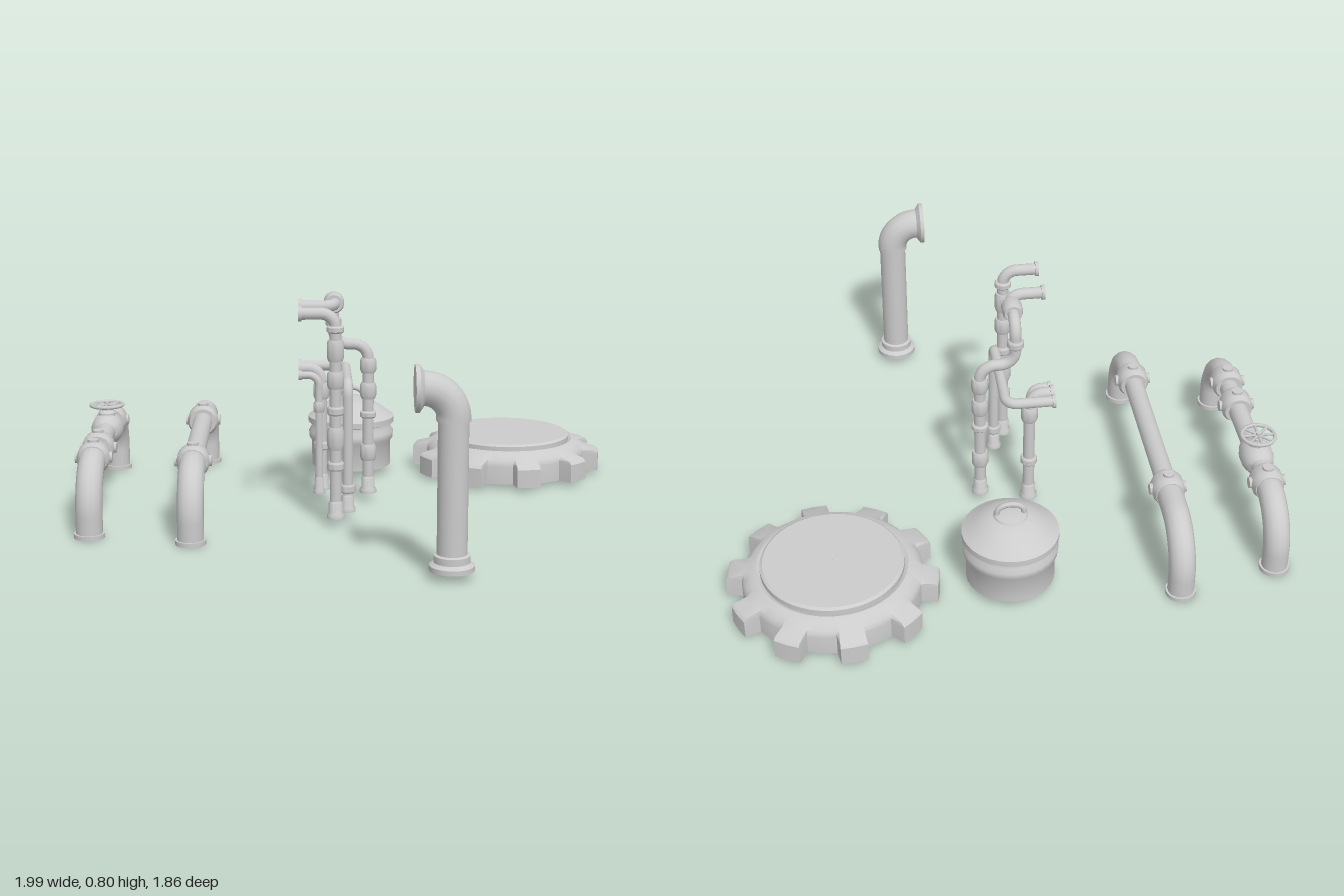
import * as THREE from 'three';
import { toCreasedNormals } from 'three/addons/utils/BufferGeometryUtils.js';

const mat = new THREE.MeshStandardMaterial({ color: 0xcccccc, side: THREE.DoubleSide });
const V = (x, y, z) => new THREE.Vector3(x, y, z);
const UP = V(0, 1, 0);

function add(parent, name, geo, pos = V(0, 0, 0), axis = UP) {
  const m = new THREE.Mesh(geo, mat);
  m.name = name;
  m.position.copy(pos);
  m.quaternion.setFromUnitVectors(UP, axis);
  parent.add(m);
  return m;
}

function group(parent, name, x = 0, y = 0, z = 0) {
  const g = new THREE.Group();
  g.name = name;
  g.position.set(x, y, z);
  parent.add(g);
  return g;
}

// Turned part from [radius, height] pairs, listed upwards
const turned = (pts, seg = 24) =>
  toCreasedNormals(new THREE.LatheGeometry(pts.map(p => new THREE.Vector2(...p)), seg), 0.7);
const disc = (r, h, seg = 20) => new THREE.CylinderGeometry(r, r, h, seg);

// Round pipe along straight runs joined by rounded elbows
function pipe(parent, name, pts, r, bend) {
  const path = new THREE.CurvePath();
  let from = pts[0];
  for (let i = 1; i < pts.length - 1; i++) {
    const c = pts[i];
    const a = pts[i - 1].clone().sub(c).normalize(), b = pts[i + 1].clone().sub(c).normalize();
    const p = c.clone().addScaledVector(a, bend), q = c.clone().addScaledVector(b, bend);
    path.add(new THREE.LineCurve3(from, p));
    path.add(new THREE.CubicBezierCurve3(p, c.clone().addScaledVector(a, bend * 0.45),
      c.clone().addScaledVector(b, bend * 0.45), q));
    from = q;
  }
  path.add(new THREE.LineCurve3(from, pts[pts.length - 1]));
  return add(parent, name, new THREE.TubeGeometry(path, 90, r, 14), V(0, 0, 0));
}

// Bulged coupling around a pipe
function coupling(parent, pos, r, len, axis = UP) {
  const h = len / 2;
  add(parent, 'coupling', turned([[r * 0.6, -h], [r * 0.85, -h], [r, -h * 0.6], [r, h * 0.6],
    [r * 0.85, h], [r * 0.6, h]], 18), pos, axis);
}

// Large ground pipe: two legs, a run along z and bolted couplings
function groundPipe(root, name, x, zBack, zFront, collars, thin) {
  const g = group(root, name, x);
  const y = 0.24, Z = V(0, 0, 1), bend = 0.16;
  const ends = [[zFront, -1, collars[collars.length - 1]], [zBack, 1, collars[0]]];
  for (const [z, , stop] of ends) {
    pipe(g, 'elbowPipe', [V(0, 0.005, z), V(0, y, z), V(0, y, stop)], 0.047, bend);
    add(g, 'baseFlange', disc(0.054, 0.016), V(0, 0.008, z));
  }
  const [a, b] = thin;
  add(g, 'run', disc(0.036, b - a), V(0, y, (a + b) / 2), Z);
  for (const z of collars) {
    coupling(g, V(0, y, z), 0.059, 0.085, Z);
    for (const d of [UP, V(1, 0, 0), V(-1, 0, 0)])
      add(g, 'bolt', disc(0.02, 0.02, 12), V(0, y, z).addScaledVector(d, 0.056), d);
  }
  return g;
}

// Handwheel valve sitting on a ground pipe
function valve(parent, z) {
  const g = group(parent, 'valve', 0, 0.24, z);
  add(g, 'valveBody', turned([[0.036, -0.07], [0.05, -0.055], [0.06, -0.02], [0.06, 0.02],
    [0.05, 0.055], [0.036, 0.07]]), V(0, 0, 0), V(0, 0, 1));
  add(g, 'bonnet', turned([[0.032, 0.04], [0.032, 0.062], [0.018, 0.072], [0.018, 0.082],
    [0.01, 0.084], [0.01, 0.105], [0, 0.105]], 14));
  const wheel = group(g, 'handwheel', 0, 0.092, 0);
  add(wheel, 'rim', new THREE.TorusGeometry(0.06, 0.007, 8, 28)).rotation.set(Math.PI / 2, 0, 0);
  for (let i = 0; i < 4; i++) {
    const a = i * Math.PI / 4;
    add(wheel, 'spoke', new THREE.CylinderGeometry(0.005, 0.005, 0.12, 6), V(0, 0, 0),
      V(Math.cos(a), 0, Math.sin(a)));
  }
}

// Thin service pipe ending in a floor socket, cut off at x = -0.2
function servicePipe(root, name, pts, r, bend, collars) {
  const g = group(root, name);
  pipe(g, 'tube', pts, r, bend);
  const foot = pts[pts.length - 1];
  add(g, 'floorSocket', turned([[0, 0], [r * 1.5, 0], [r * 1.5, 0.012], [r * 1.2, 0.022],
    [r * 1.2, 0.055], [r, 0.062]], 16), foot);
  add(g, 'endFlange', disc(r * 1.3, 0.012, 16), pts[0].clone().add(V(0.006, 0, 0)), V(1, 0, 0));
  for (const [y, len] of collars) coupling(g, V(foot.x, y, foot.z), r * 1.45, len);
  return g;
}

// Hollow cover with ten teeth, lofted from toothed loops
function toothedCover(root) {
  const g = group(root, 'toothedCover', 0.627, 0, -0.565);
  const rings = [ // inner radius, tooth radius, height
    [0.001, 0.001, 0.155], [0.24, 0.24, 0.155], [0.25, 0.25, 0.148], [0.25, 0.25, 0.128],
    [0.262, 0.262, 0.134], [0.285, 0.285, 0.127], [0.305, 0.312, 0.108], [0.312, 0.36, 0.096],
    [0.314, 0.37, 0.085], [0.314, 0.37, 0.015]];
  const steps = [[-0.314, 0], [-0.235, 0], [-0.155, 0], [-0.125, 1], [0, 1], [0.125, 1], [0.155, 0], [0.235, 0]];
  const loops = rings.map(([ri, ro, y]) => {
    const loop = [];
    for (let k = 0; k < 10; k++)
      for (const [da, t] of steps) {
        const a = (26 + 36 * k) * Math.PI / 180 + da, r = t ? ro : ri;
        loop.push([r * Math.cos(a), y, -r * Math.sin(a)]);
      }
    return loop;
  });
  const pos = [];
  for (let i = 0; i + 1 < loops.length; i++) {
    const U = loops[i], L = loops[i + 1];
    for (let j = 0; j < U.length; j++) {
      const n = (j + 1) % U.length;
      pos.push(...L[j], ...L[n], ...U[n], ...L[j], ...U[n], ...U[j]);
    }
  }
  const geo = new THREE.BufferGeometry();
  geo.setAttribute('position', new THREE.Float32BufferAttribute(pos, 3));
  add(g, 'coverShell', toCreasedNormals(geo, 0.6));
}

// Lidded pot, open underneath
function pot(root) {
  const g = group(root, 'pot', 0.008, 0, -0.567);
  add(g, 'potBody', turned([[0.156, 0.03], [0.156, 0.125], [0.166, 0.14], [0.168, 0.165],
    [0.158, 0.18], [0.156, 0.2]], 32));
  add(g, 'lid', turned([[0.156, 0.198], [0.17, 0.203], [0.17, 0.225], [0.155, 0.234], [0.125, 0.258],
    [0.09, 0.28], [0.06, 0.291], [0.056, 0.298], [0.03, 0.302], [0, 0.303]], 32));
  const arch = new THREE.CatmullRomCurve3([V(-0.048, 0.29, 0), V(-0.043, 0.318, 0),
    V(-0.02, 0.334, 0), V(0.02, 0.334, 0), V(0.043, 0.318, 0), V(0.048, 0.29, 0)]);
  add(g, 'lidHandle', new THREE.TubeGeometry(arch, 24, 0.01, 8));
}

// Tall vent with a side outlet
function vent(root) {
  const g = group(root, 'ventPipe', 0.292, 0, 0.852);
  add(g, 'base', turned([[0, 0.028], [0.075, 0.028], [0.075, 0.045], [0.06, 0.055], [0.06, 0.078], [0.05, 0.082]]));
  add(g, 'shaft', disc(0.05, 0.46), V(0, 0.3, 0));
  pipe(g, 'outletElbow', [V(0, 0.52, 0), V(0, 0.625, 0), V(-0.11, 0.625, 0)], 0.056, 0.095);
  add(g, 'outletFlange', turned([[0.056, -0.022], [0.065, -0.016], [0.077, -0.008], [0.077, 0.006], [0, 0.006]]),
    V(-0.117, 0.625, 0), V(-1, 0, 0));
}

export function createModel() {
  const root = new THREE.Group();
  root.name = 'pipeSet';

  const valvePipe = groundPipe(root, 'valvePipe', -0.93, -0.63, 0.357, [-0.44, 0.02, 0.17], [-0.44, 0.17]);
  valve(valvePipe, -0.29);
  groundPipe(root, 'longPipe', -0.573, -0.715, 0.448, [-0.43, 0.23], [-0.43, 0.23]);

  vent(root);
  toothedCover(root);
  pot(root);

  // Cluster of thin pipes
  servicePipe(root, 'frontService', [V(-0.2, 0.765, 0.24), V(-0.07, 0.765, 0.24), V(-0.07, 0.03, 0.24)],
    0.021, 0.05, [[0.71, 0.025], [0.635, 0.075], [0.53, 0.06], [0.42, 0.03], [0.32, 0.08], [0.22, 0.03]]);
  const s = servicePipe(root, 'windingService', [V(-0.2, 0.765, 0.082), V(-0.07, 0.765, 0.082),
    V(-0.07, 0.765, -0.105), V(-0.07, 0.595, -0.105), V(0.058, 0.595, -0.108), V(0.058, 0.03, -0.108)],
    0.021, 0.055, [[0.515, 0.055], [0.42, 0.06], [0.33, 0.025], [0.185, 0.06]]);
  coupling(s, V(-0.07, 0.765, -0.012), 0.037, 0.07, V(0, 0, 1));
  coupling(s, V(-0.07, 0.68, -0.105), 0.03, 0.03);
  servicePipe(root, 'crossingService', [V(-0.2, 0.495, -0.21), V(-0.025, 0.495, -0.21),
    V(-0.025, 0.495, 0.155), V(-0.025, 0.03, 0.155)], 0.019, 0.04, [[0.115, 0.03]]);
  servicePipe(root, 'backService', [V(-0.2, 0.495, -0.158), V(-0.115, 0.495, -0.158),
    V(-0.115, 0.03, -0.158)], 0.021, 0.05, [[0.41, 0.06], [0.2, 0.03]]);
  servicePipe(root, 'slimService', [V(-0.2, 0.48, -0.1), V(-0.125, 0.48, -0.1),
    V(-0.125, 0.03, -0.1)], 0.014, 0.04, [[0.36, 0.04]]);
  return root;
}
